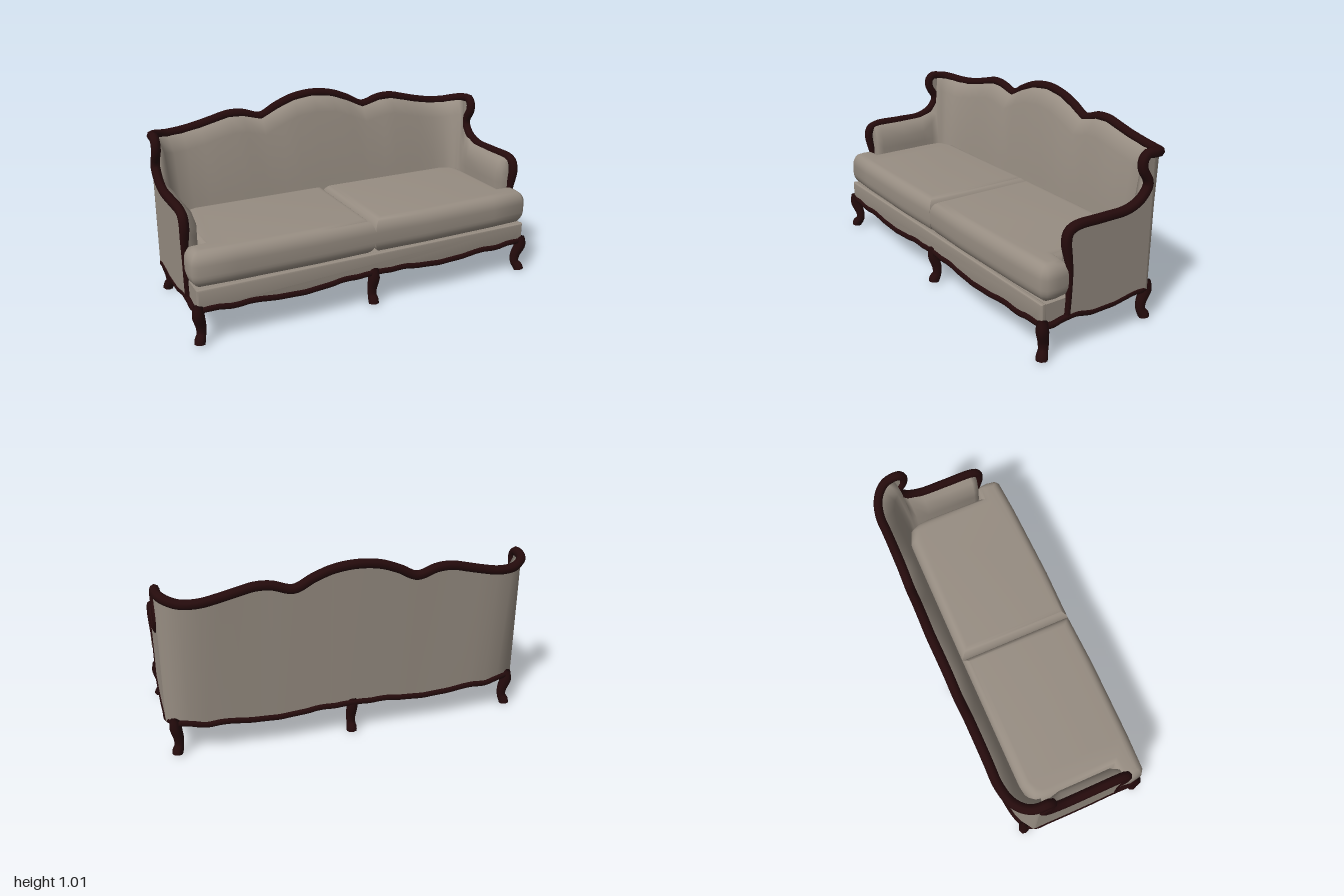
import * as THREE from 'three';
import { toCreasedNormals } from 'three/addons/utils/BufferGeometryUtils.js';

const V = (x, y, z) => new THREE.Vector3(x, y, z);
const mirrorX = (p) => V(-p.x, p.y, p.z);
// Left half followed by its mirror image; the last entry lies on the centre line.
const withMirror = (half) => [...half, ...half.slice(0, -1).reverse().map(mirrorX)];
const columnsWithMirror = (half) => [...half, ...half.slice(0, -1).reverse().map((c) => c.map(mirrorX))];

// Piecewise linear lookup in a list of [position, value].
function lookup(table, t) {
  for (let i = 1; i < table.length; i++) {
    const [a, va] = table[i - 1], [b, vb] = table[i];
    if (t <= b) return THREE.MathUtils.lerp(va, vb, Math.max(0, (t - a) / (b - a)));
  }
  return table[table.length - 1][1];
}

// Scalloped lower edge along front and back (by |x|) and along the sides (by z).
const longEdge = (x) => lookup([[0, 0.197], [0.08, 0.185], [0.18, 0.19], [0.25, 0.178], [0.4, 0.166],
  [0.55, 0.172], [0.68, 0.187], [0.78, 0.178], [0.86, 0.192], [0.96, 0.19]], Math.abs(x));
const sideEdge = (z) => lookup([[-0.34, 0.18], [-0.27, 0.183], [-0.2, 0.195], [-0.12, 0.187], [-0.05, 0.176],
  [0.1, 0.176], [0.2, 0.198], [0.3, 0.188], [0.38, 0.17]], z);

// Tube of varying radius with closed ends.
function sweep(points, radiusAt, segments, sides, closed = false) {
  const curve = new THREE.CatmullRomCurve3(points, closed);
  const geo = new THREE.TubeGeometry(curve, segments, 1, sides, closed);
  const pos = geo.attributes.position, v = V(0, 0, 0);
  for (let i = 0; i <= segments; i++) {
    const u = i / segments, c = curve.getPointAt(u);
    const r = !closed && (i === 0 || i === segments) ? 0 : radiusAt(u, c);
    for (let j = 0; j <= sides; j++) {
      const k = i * (sides + 1) + j;
      v.fromBufferAttribute(pos, k).sub(c).multiplyScalar(r).add(c);
      pos.setXYZ(k, v.x, Math.max(0, v.y), v.z);
    }
  }
  return geo;
}

// Smooth surface through columns of points.
function loft(columns) {
  const rows = columns[0].length, index = [];
  for (let i = 0; i < columns.length - 1; i++) {
    for (let j = 0; j < rows - 1; j++) {
      const a = i * rows + j, b = a + rows;
      index.push(a, a + 1, b, b, a + 1, b + 1);
    }
  }
  const geo = new THREE.BufferGeometry().setFromPoints(columns.flat());
  geo.setIndex(index);
  geo.computeVertexNormals();
  return geo;
}

// Drops the flat underside of a non-indexed geometry.
function openBelow(geo, y) {
  const p = geo.attributes.position, kept = [];
  for (let i = 0; i < p.count; i += 3) {
    const corners = [i, i + 1, i + 2];
    if (corners.some((k) => p.getY(k) > y)) kept.push(...corners.map((k) => V(0, 0, 0).fromBufferAttribute(p, k)));
  }
  return new THREE.BufferGeometry().setFromPoints(kept);
}

const shapeOf = (pts) => new THREE.Shape(pts.map(([x, y]) => new THREE.Vector2(x, y)));
const range = (a, b, n) => Array.from({ length: n + 1 }, (_, i) => a + (b - a) * i / n);

export function createModel() {
  const group = new THREE.Group();
  const fabric = new THREE.MeshStandardMaterial({ color: 0x978d82, side: THREE.DoubleSide });
  fabric.name = 'taupe fabric';
  const wood = new THREE.MeshStandardMaterial({ color: 0x250b0c });
  wood.name = 'dark mahogany';
  const add = (name, geo, mat) => {
    const mesh = new THREE.Mesh(geo, mat);
    mesh.name = name;
    group.add(mesh);
    return mesh;
  };

  // Arm and wing outline in [z, y], from the foot of the arm post up to the wing top
  const armLine = [[0.245, 0.19], [0.238, 0.3], [0.236, 0.42], [0.25, 0.5], [0.262, 0.575], [0.25, 0.62], [0.21, 0.64],
    [0.05, 0.642], [-0.1, 0.646], [-0.18, 0.68], [-0.222, 0.735], [-0.22, 0.765], [-0.184, 0.825],
    [-0.182, 0.868], [-0.205, 0.895], [-0.245, 0.893]];

  // Crest from the rear corner to the centre
  const crest = [V(0.955, 0.888, -0.285), V(0.925, 0.878, -0.325), V(0.87, 0.866, -0.36), V(0.78, 0.868, -0.38),
    V(0.68, 0.886, -0.381), V(0.6, 0.905, -0.382), V(0.51, 0.925, -0.384), V(0.43, 0.922, -0.385),
    V(0.32, 0.893, -0.388), V(0.22, 0.94, -0.39), V(0.12, 0.976, -0.393), V(0, 0.99, -0.396)];

  // Carved rail around arms, wings and back
  const railHalf = [...armLine.map(([z, y]) => V(0.965, y, z)), ...crest];
  add('topRail', sweep(withMirror(railHalf),
    (u, c) => THREE.MathUtils.lerp(0.015, 0.025, THREE.MathUtils.smoothstep(c.y, 0.38, 0.58)), 260, 8), wood);

  // Flat side panels with a scalloped lower edge
  const sideShape = shapeOf([...armLine, ...range(-0.245, 0.23, 16).map((z) => [z, sideEdge(z)])]);
  for (const s of [1, -1]) {
    const geo = new THREE.ExtrudeGeometry(sideShape, { depth: 0.02, bevelEnabled: false });
    geo.rotateY(-Math.PI / 2);
    geo.translate(s > 0 ? 0.975 : -0.955, 0, 0);
    add(s > 0 ? 'leftSidePanel' : 'rightSidePanel', geo, fabric);
  }

  // Outer back, leaning backwards and wrapping round the corners
  const footXZ = [[0.94, -0.28], [0.91, -0.3], [0.86, -0.318], [0.78, -0.33]];
  const outerHalf = [
    ...[[0.975, -0.24], [0.973, -0.257]].map(([x, z]) => [V(x, 0.893, z), V(x, sideEdge(z), z)]),
    ...crest.map((t, i) => {
      const [x, z] = footXZ[i] || [t.x, -0.332 - 0.015 * (1 - t.x)];
      return [t, V(x, longEdge(x), z)];
    })];
  add('outerBack', loft(columnsWithMirror(outerHalf)), fabric);

  // Padded inner lining of arms and back: [rail point, seat point, is arm]
  const seatXZ = [[0.872, -0.2], [0.855, -0.215], [0.825, -0.228], [0.76, -0.236]];
  const lining = [
    [V(0.96, 0.64, 0.236), V(0.955, 0.29, 0.236), true],
    [V(0.96, 0.64, 0.234), V(0.905, 0.29, 0.234), true],
    [V(0.96, 0.645, 0.2), V(0.888, 0.29, 0.2), true],
    [V(0.96, 0.645, 0.05), V(0.888, 0.29, 0.05), true],
    [V(0.96, 0.65, -0.1), V(0.888, 0.29, -0.09), true],
    [V(0.96, 0.685, -0.187), V(0.887, 0.29, -0.155), false],
    [V(0.96, 0.74, -0.228), V(0.882, 0.29, -0.18), false],
    [V(0.96, 0.89, -0.242), V(0.878, 0.29, -0.19), false],
    ...crest.map((t, i) => {
      const [x, z] = seatXZ[i] || [t.x * 0.98, -0.237];
      return [t, V(x, 0.29, z), false];
    })];
  const liningHalf = lining.map(([top, low, arm]) => {
    const mix = arm ? [0, 0.7, 1, 1, 1] : [0, 0.25, 0.55, 0.82, 1];
    const y = [top.y, top.y - 0.02, top.y - 0.09, 0.5, 0.29];
    return mix.map((m, i) => top.clone().lerp(low, m).setY(y[i]));
  });
  add('innerLining', loft(columnsWithMirror(liningHalf)), fabric);

  // Front seat fascia with a scalloped lower edge, its returns and the ledge behind it
  const fasciaShape = shapeOf([[0.955, 0.288], [-0.955, 0.288], ...range(-0.955, 0.955, 60).map((x) => [x, longEdge(x)])]);
  const fascia = new THREE.ExtrudeGeometry(fasciaShape,
    { depth: 0.008, bevelThickness: 0.01, bevelSize: 0.01, bevelOffset: -0.004, bevelSegments: 3 });
  fascia.translate(0, 0, 0.37);
  add('seatFascia', toCreasedNormals(fascia, 0.7), fabric);
  for (const s of [1, -1]) {
    const geo = new THREE.BoxGeometry(0.016, 0.1, 0.15);
    geo.translate(s * 0.952, 0.242, 0.302);
    add(s > 0 ? 'leftFasciaReturn' : 'rightFasciaReturn', geo, fabric);
  }
  const ledge = new THREE.BoxGeometry(1.9, 0.008, 0.17);
  ledge.translate(0, 0.288, 0.295);
  add('seatLedge', ledge, fabric);

  // Two hollow T-shaped seat cushions, widening in front of the arms
  const plan = [[0, 0.396], [0.3, 0.403], [0.75, 0.397], [0.945, 0.388], [0.972, 0.368], [0.981, 0.31], [0.972, 0.238],
    [0.894, 0.23], [0.896, -0.1], [0.89, -0.17], [0.862, -0.22], [0.78, -0.252], [0, -0.255]];
  for (const s of [1, -1]) {
    const solid = new THREE.ExtrudeGeometry(shapeOf(plan.map(([x, z]) => [s * x, z])),
      { depth: 0.05, bevelThickness: 0.07, bevelSize: 0.055, bevelOffset: -0.055, bevelSegments: 7 });
    solid.rotateX(Math.PI / 2);
    solid.translate(0, 0.412, 0);
    add(s > 0 ? 'leftCushion' : 'rightCushion', toCreasedNormals(openBelow(solid, 0.293), 0.8), fabric);
  }

  // Carved apron rail running round the lower edge
  const apronHalf = [
    ...range(0.05, 0.9, 17).map((x) => V(x, longEdge(x), 0.385)),
    V(0.955, 0.187, 0.372),
    ...range(0.33, -0.23, 12).map((z) => V(0.965, sideEdge(z), z)),
    ...footXZ.map(([x, z]) => V(x, longEdge(x), z)),
    ...range(0.7, 0.05, 13).map((x) => V(x, longEdge(x), -0.332 - 0.015 * (1 - x)))];
  add('apronRail', sweep([...apronHalf, ...apronHalf.slice().reverse().map(mirrorX)], () => 0.017, 300, 6, true), wood);

  // Cabriole legs: knee and toe pushed out along a direction
  const legLine = [[0.217, 0.012], [0.165, 0.014], [0.09, -0.006], [0.05, -0.006], [0.02, 0.012], [0, 0.016]];
  const legRadii = [[0, 0.024], [0.25, 0.032], [0.55, 0.027], [0.75, 0.024], [0.88, 0.029], [1, 0.028]];
  const leg = (name, x, z, dx, dz) => add(name,
    sweep(legLine.map(([y, d]) => V(x + dx * d, y, z + dz * d)), (u) => lookup(legRadii, u), 28, 8), wood);
  for (const s of [1, -1]) {
    const side = s > 0 ? 'Left' : 'Right';
    leg(`front${side}Leg`, s * 0.947, 0.367, s * 0.8, 1);
    leg(`back${side}Leg`, s * 0.923, -0.281, s * 0.6, -0.7);
  }
  leg('frontMiddleLeg', 0, 0.367, 0, 1);
  leg('backMiddleLeg', 0, -0.318, 0, -1);

  return group;
}
